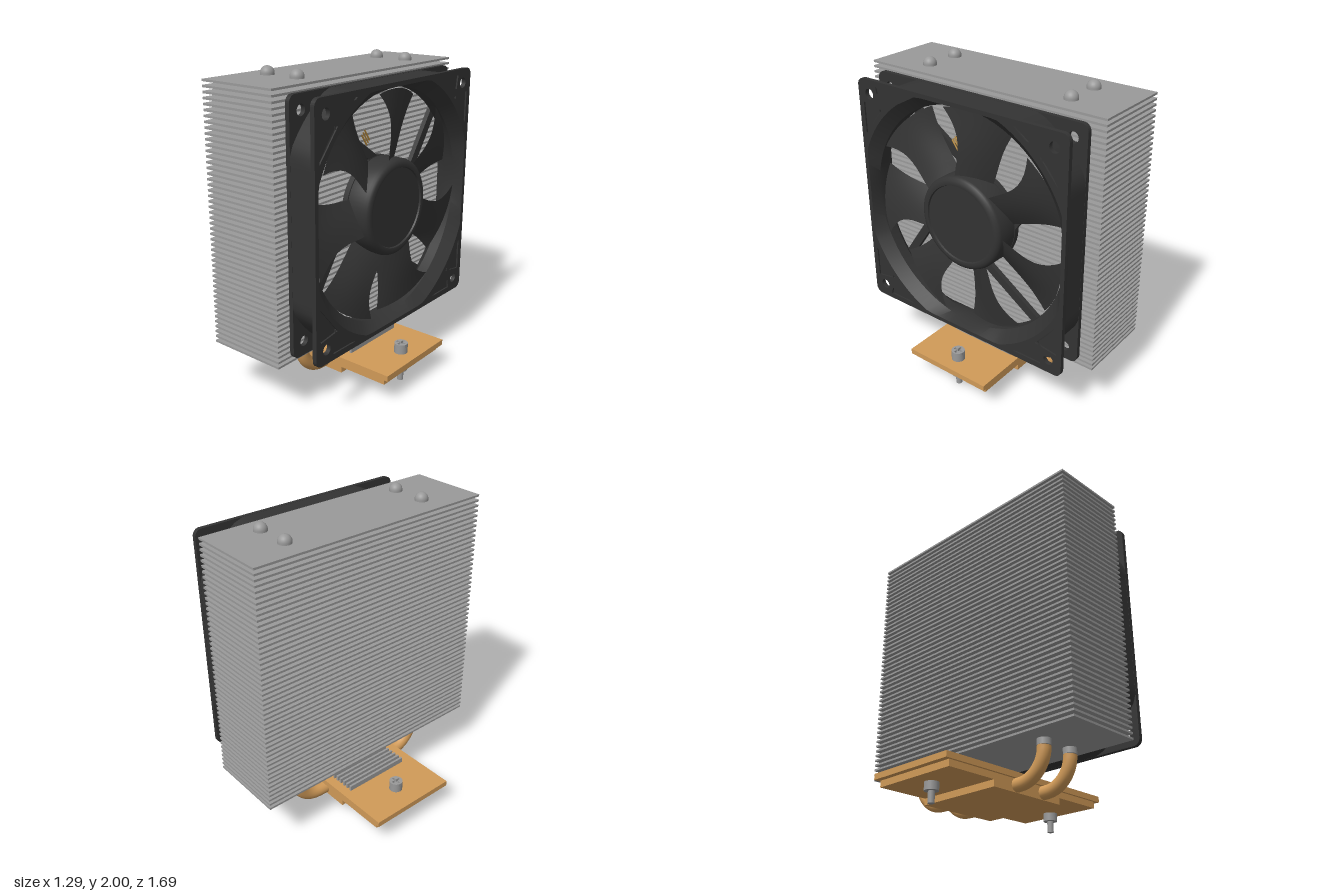
import * as THREE from 'three';
import { toCreasedNormals } from 'three/addons/utils/BufferGeometryUtils.js';
import { ParametricGeometry } from 'three/addons/geometries/ParametricGeometry.js';

const mat = (name, color, side = THREE.FrontSide) => {
  const m = new THREE.MeshStandardMaterial({ color, side });
  m.name = name;
  return m;
};

export function createModel() {
  const aluminium = mat('aluminium', 0x999999);
  const copper = mat('copper', 0xd09a58);
  const plastic = mat('blackPlastic', 0x333333, THREE.DoubleSide);
  const gold = mat('wireGold', 0xb88a3c);

  const model = new THREE.Group();
  model.name = 'towerCooler';
  const add = (parent, name, geo, material, x = 0, y = 0, z = 0) => {
    const m = new THREE.Mesh(geo, material);
    m.name = name;
    m.position.set(x, y, z);
    parent.add(m);
    return m;
  };
  const group = (name, parent = model) => {
    const g = new THREE.Group();
    g.name = name;
    parent.add(g);
    return g;
  };

  // Stack of cooling fins
  const fins = group('coolingFins');
  const finGeo = new THREE.BoxGeometry(0.528, 0.013, 1.69);
  for (let i = 0; i < 49; i++) add(fins, 'fin', finGeo, aluminium, 0.007, 0.353 + i * 0.0331, 0);

  // Base: two plates, contact block and the small fins on top
  const base = group('base');
  add(base, 'upperPlate', new THREE.BoxGeometry(1.295, 0.036, 0.61), copper, -0.002, 0.178, -0.004);
  add(base, 'lowerPlate', new THREE.BoxGeometry(1.226, 0.04, 0.58), copper, -0.002, 0.14, -0.004);
  add(base, 'contactBlock', new THREE.BoxGeometry(0.555, 0.042, 0.58), copper, -0.002, 0.1, -0.004);
  const smallFin = new THREE.BoxGeometry(0.015, 0.036, 0.464);
  for (let i = 0; i < 19; i++) add(base, 'baseFin', smallFin, aluminium, -0.303 + i * 0.0331, 0.213, -0.016);

  // Heat pipes: copper U-bend below, plated upright legs above
  const pipes = group('heatPipes');
  const R = 0.185, yLow = 0.1225, zF = 0.498, zB = -0.532, rPipe = 0.042;
  const bend = [];
  for (let i = 0; i <= 8; i++) {
    const a = (i / 8) * Math.PI / 2;
    bend.push([R * (1 - Math.cos(a)), yLow + R * (1 - Math.sin(a))]);
  }
  const path = new THREE.CatmullRomCurve3([
    ...bend.map(([d, y]) => new THREE.Vector3(0, y, zF - d)),
    new THREE.Vector3(0, yLow, 0.1), new THREE.Vector3(0, yLow, -0.14),
    ...bend.slice().reverse().map(([d, y]) => new THREE.Vector3(0, y, zB + d)),
  ]);
  const bendGeo = new THREE.TubeGeometry(path, 70, rPipe - 0.0005, 20);
  const legBottom = yLow + R, legTop = 2 - rPipe;
  const legGeo = new THREE.CylinderGeometry(rPipe, rPipe, legTop - legBottom, 24);
  const capGeo = new THREE.SphereGeometry(rPipe, 24, 8, 0, Math.PI * 2, 0, Math.PI / 2);
  for (const x of [-0.097, 0.131]) {
    add(pipes, 'pipeBend', bendGeo, copper, x);
    for (const z of [zF, zB]) {
      add(pipes, 'pipeLeg', legGeo, aluminium, x, (legTop + legBottom) / 2, z);
      add(pipes, 'pipeCap', capGeo, aluminium, x, legTop, z);
    }
  }

  // Mounting screws with a cross recess
  const headShape = new THREE.Shape().absarc(0, 0, 0.043, 0, Math.PI * 2);
  const w = 0.007, l = 0.031;
  headShape.holes.push(new THREE.Path([
    [l, -w], [l, w], [w, w], [w, l], [-w, l], [-w, w], [-l, w], [-l, -w], [-w, -w], [-w, -l], [w, -l], [w, -w],
  ].map(p => new THREE.Vector2(...p))));
  const headGeo = toCreasedNormals(new THREE.ExtrudeGeometry(headShape, { depth: 0.02, bevelEnabled: false, curveSegments: 16 })
    .rotateX(-Math.PI / 2), 0.6);
  for (const x of [-0.48, 0.528]) {
    const screw = group('mountingScrew');
    screw.position.set(x, 0, -0.004);
    add(screw, 'screwHead', headGeo, aluminium, 0, 0.24, 0);
    add(screw, 'screwBody', new THREE.CylinderGeometry(0.043, 0.043, 0.17, 28), aluminium, 0, 0.155, 0);
    add(screw, 'screwTip', new THREE.CylinderGeometry(0.02, 0.02, 0.08, 20), aluminium, 0, 0.04, 0);
  }

  // Fan, built facing local +z and turned to face +x
  const fan = group('fan');
  fan.position.set(0.386, 1.148, 0);
  fan.rotation.y = Math.PI / 2;

  // Circle of radius r clipped by a square of half-width s
  const N = 96;
  const clipped = (r, s) => Array.from({ length: N }, (_, i) => {
    const a = (i / N) * Math.PI * 2, c = Math.cos(a), n = Math.sin(a);
    const d = Math.min(r, s / Math.max(Math.abs(c), Math.abs(n)));
    return new THREE.Vector2(c * d, n * d);
  });

  // Barrel wall lofted through outer and inner rings
  const rings = [[0.89, 0.761, -0.074], [0.89, 0.761, 0.074], [0.79, 0.735, 0.1], [0.718, 0.718, 0.035],
    [0.718, 0.718, -0.035], [0.79, 0.735, -0.1], [0.89, 0.761, -0.074]];
  const pos = [], index = [];
  rings.forEach(([r, s, z], k) => {
    clipped(r, s).forEach((p, i) => {
      pos.push(p.x, p.y, z);
      if (k === rings.length - 1) return;
      const a = k * N + i, b = k * N + (i + 1) % N;
      index.push(a, b, b + N, a, b + N, a + N);
    });
  });
  const barrel = new THREE.BufferGeometry();
  barrel.setAttribute('position', new THREE.Float32BufferAttribute(pos, 3));
  barrel.setIndex(index);
  add(fan, 'fanBarrel', toCreasedNormals(barrel, 0.5), plastic);

  // Square flanges with screw holes; the outer layer has corner pockets
  const flange = (depth, pockets) => {
    const h = 0.762, q = 0.045, s = new THREE.Shape();
    [[1, 1, 0], [-1, 1, 1], [-1, -1, 2], [1, -1, 3]].forEach(([x, y, k]) =>
      s.absarc(x * (h - q), y * (h - q), q, k * Math.PI / 2, (k + 1) * Math.PI / 2));
    s.holes.push(new THREE.Path(clipped(0.79, 0.735)));
    for (const x of [-1, 1]) for (const y of [-1, 1]) {
      s.holes.push(new THREE.Path().absarc(x * 0.672, y * 0.672, 0.033, 0, Math.PI * 2));
      if (!pockets) continue;
      const tri = [[0.615, 0.725], [0.41, 0.725], [0.592, 0.575]];
      s.holes.push(new THREE.Path(tri.map(([a, b]) => new THREE.Vector2(x * a, y * b))));
      s.holes.push(new THREE.Path(tri.map(([a, b]) => new THREE.Vector2(x * b, y * a))));
    }
    return toCreasedNormals(new THREE.ExtrudeGeometry(s, { depth, bevelEnabled: false, curveSegments: 10 }), 0.5);
  };
  const plate = flange(0.018, false), rim = flange(0.01, true);
  add(fan, 'frontFlange', plate, plastic, 0, 0, 0.072);
  add(fan, 'frontFlangeRim', rim, plastic, 0, 0, 0.09);
  add(fan, 'backFlange', plate, plastic, 0, 0, -0.09);
  add(fan, 'backFlangeRim', rim, plastic, 0, 0, -0.1);

  // Hub with rounded rim and sunken disc, motor mount behind
  const hubProfile = [[0, -0.06], [0.3, -0.06], [0.3, 0.06], [0.294, 0.077], [0.28, 0.088], [0.262, 0.092],
    [0.25, 0.09], [0.246, 0.08], [0, 0.08]].map(p => new THREE.Vector2(...p));
  add(fan, 'hub', toCreasedNormals(new THREE.LatheGeometry(hubProfile, 64).rotateX(Math.PI / 2), 0.6), plastic);
  add(fan, 'motorMount', new THREE.CylinderGeometry(0.3, 0.3, 0.035, 64).rotateX(Math.PI / 2), plastic, 0, 0, -0.0825);

  // Seven pitched blades
  const rad = THREE.MathUtils.degToRad;
  const bladeGeo = new ParametricGeometry((u, v, t) => {
    const r = 0.28 + v * 0.428;
    const bow = Math.sin(v * Math.PI);
    const from = -11 + 8 * bow, to = 31 - 4 * v - 3 * bow;
    const a = rad(from + (to - from) * u);
    t.set(r * Math.sin(a), r * Math.cos(a), (0.5 - u) * (0.11 - 0.03 * v) + 0.012 * Math.sin(u * Math.PI));
  }, 10, 10);
  for (let i = 0; i < 7; i++) add(fan, 'blade', bladeGeo, plastic).rotation.z = -i * Math.PI * 2 / 7;

  // Four slanted struts carrying the motor mount
  const a = new THREE.Vector2(-0.595, -0.482), b = new THREE.Vector2(-0.22, 0.068);
  const strutGeo = new THREE.BoxGeometry(a.distanceTo(b), 0.055, 0.03)
    .rotateZ(Math.atan2(b.y - a.y, b.x - a.x))
    .translate((a.x + b.x) / 2, (a.y + b.y) / 2, -0.083);
  for (let i = 0; i < 4; i++) add(fan, 'strut', strutGeo, plastic).rotation.z = -i * Math.PI / 2;

  // Short wire ends beside the upper strut
  for (let i = 0; i < 3; i++) {
    const o = i * 0.013;
    const wire = new THREE.LineCurve3(new THREE.Vector3(-0.165 + o, 0.455 + o, -0.062), new THREE.Vector3(-0.115 + o, 0.385 + o, -0.062));
    add(fan, 'wire', new THREE.TubeGeometry(wire, 1, 0.005, 8), gold);
  }
  return model;
}
